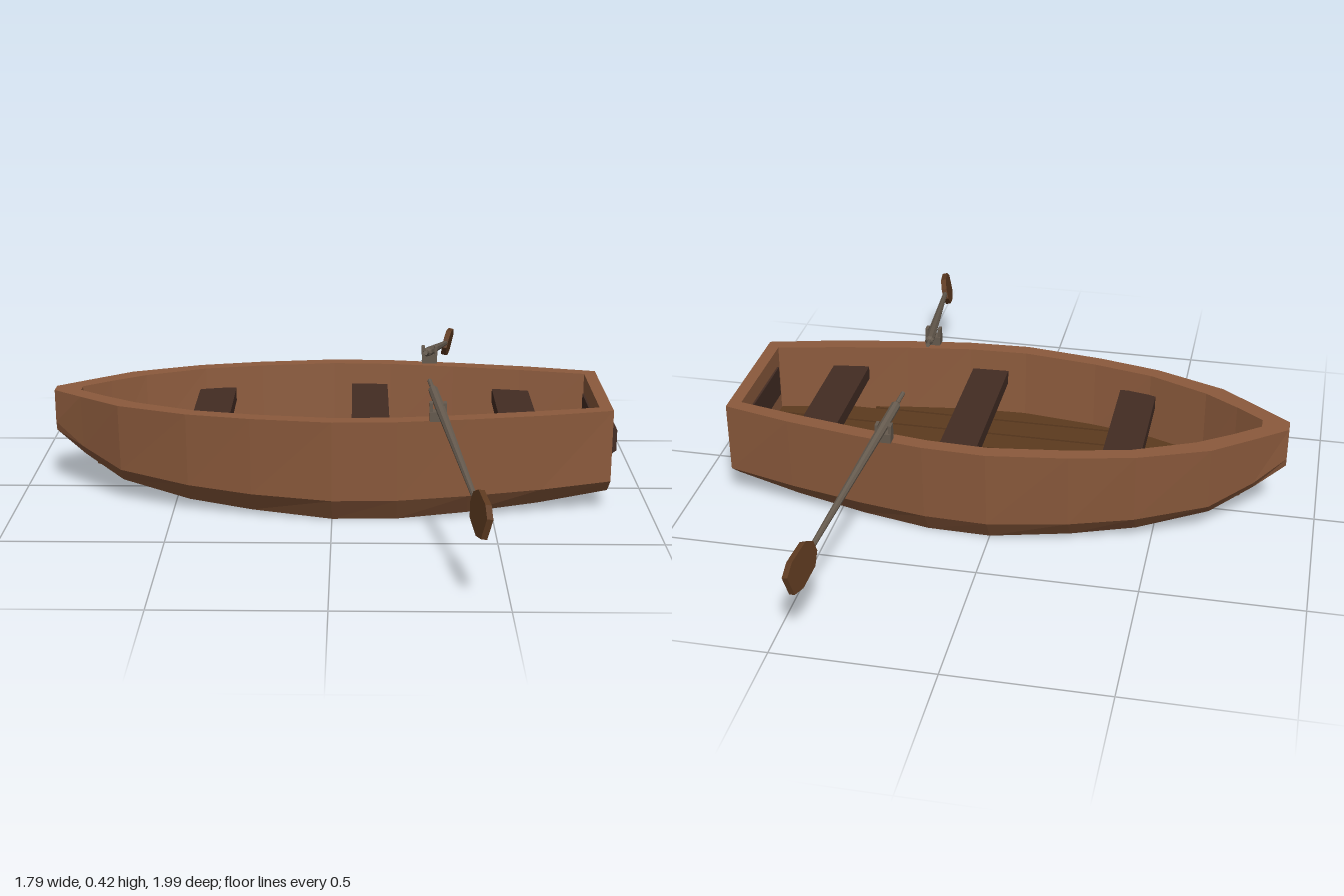
import * as THREE from 'three';

const mat = (name, color) => {
  const m = new THREE.MeshStandardMaterial({ color });
  m.name = name;
  m.flatShading = true;
  return m;
};

const RIM = 0.337, FLOOR = 0.1;

// Hull stations: outer x, top half-width, chine half-width, chine y, keel half-width, keel y, inner x, inner half-width
const STATIONS = [
  [-0.895, 0.024, 0.022, 0.23, 0.012, 0.2, -0.81, 0.02],
  [-0.8, 0.098, 0.08, 0.165, 0.045, 0.13, -0.725, 0.085],
  [-0.67, 0.196, 0.172, 0.118, 0.115, 0.066, -0.62, 0.155],
  [-0.45, 0.282, 0.262, 0.1, 0.205, 0.034, -0.43, 0.238],
  [-0.25, 0.326, 0.31, 0.088, 0.255, 0.018, -0.24, 0.28],
  [0, 0.36, 0.347, 0.08, 0.295, 0.003, 0, 0.312],
  [0.2, 0.352, 0.34, 0.08, 0.29, 0.003, 0.19, 0.305],
  [0.42, 0.321, 0.311, 0.086, 0.26, 0.015, 0.4, 0.275],
  [0.65, 0.279, 0.271, 0.094, 0.215, 0.032, 0.62, 0.235],
  [0.87, 0.225, 0.225, 0.106, 0.165, 0.056, 0.83, 0.19],
];

// Half-width of the floor at x
function floorWidth(x) {
  for (let i = 1; i < STATIONS.length; i++) {
    const a = STATIONS[i - 1], b = STATIONS[i];
    if (x <= b[6]) return 0.95 * THREE.MathUtils.mapLinear(x, a[6], b[6], a[7], b[7]);
  }
  return 0.18;
}

// Closed shell: each ring runs keel, chine, rim, inner rim, inner floor, then mirrored back
function hullGeometry() {
  const rings = STATIONS.map(([x, top, chine, cy, keel, ky, ix, inner], i) => {
    const half = [
      [x, ky, keel], [x, cy, chine], [x, RIM, top], [ix, RIM, inner],
      [ix, i === 0 ? 0.2 : FLOOR, inner * 0.95],
    ];
    return [...half, ...half.slice().reverse().map(([px, py, pz]) => [px, py, -pz])];
  });
  const pos = [];
  const quad = (a, b, c, d) => pos.push(...a, ...b, ...c, ...a, ...c, ...d);
  for (let i = 0; i < rings.length - 1; i++) {
    for (let j = 0; j < 10; j++) {
      const k = (j + 1) % 10;
      quad(rings[i][j], rings[i + 1][j], rings[i + 1][k], rings[i][k]);
    }
  }
  const bow = rings[0], stern = rings[rings.length - 1];
  for (let k = 0; k < 4; k++) {
    quad(bow[k], bow[k + 1], bow[8 - k], bow[9 - k]);
    quad(stern[9 - k], stern[8 - k], stern[k + 1], stern[k]);
  }
  const g = new THREE.BufferGeometry();
  g.setAttribute('position', new THREE.Float32BufferAttribute(pos, 3));
  g.computeVertexNormals();
  return g;
}

// Floor board between z0 and z1, trimmed to the hull sides
function plankGeometry(z0, z1) {
  const upper = [], lower = [];
  for (let i = 0; i <= 60; i++) {
    const x = THREE.MathUtils.lerp(-0.76, 0.828, i / 60);
    const w = floorWidth(x), hi = Math.min(z1, w), lo = Math.max(z0, -w);
    if (hi - lo < 0.004) continue;
    upper.push(new THREE.Vector2(x, -lo));
    lower.push(new THREE.Vector2(x, -hi));
  }
  const shape = new THREE.Shape([...lower, ...upper.reverse()]);
  return new THREE.ExtrudeGeometry(shape, { depth: 0.015, bevelEnabled: false })
    .rotateX(-Math.PI / 2).translate(0, FLOOR, 0);
}

export function createModel() {
  const group = new THREE.Group();
  const hullWood = mat('hull wood', 0x8b5a3c);
  const floorWood = mat('floor wood', 0x5c3a1e);
  const seatWood = mat('dark seat wood', 0x432c23);
  const oarGrey = mat('weathered grey', 0x655a4e);
  const bladeWood = mat('blade wood', 0x5e3a20);

  const add = (name, geometry, material, parent = group) => {
    const mesh = new THREE.Mesh(geometry, material);
    mesh.name = name;
    parent.add(mesh);
    return mesh;
  };
  const box = (name, size, at, material, parent) => {
    const mesh = add(name, new THREE.BoxGeometry(...size), material, parent);
    mesh.position.set(...at);
    return mesh;
  };

  add('hull', hullGeometry(), hullWood);

  // Floor boards with narrow gaps
  for (let i = -3; i <= 3; i++) {
    const z = i * 0.093;
    add('floorPlank', plankGeometry(z - 0.042, z + 0.042), floorWood);
  }

  // Three thwarts
  for (const [x, width] of [[-0.39, 0.5], [0.12, 0.615], [0.59, 0.485]]) {
    box('seat', [0.12, 0.045, width], [x, 0.245, 0], seatWood);
  }

  // Bevelled board through the transom
  const board = new THREE.Shape([
    [0.824, 0.172], [0.868, 0.168], [0.893, 0.188], [0.893, 0.255], [0.868, 0.28], [0.824, 0.276],
  ].map(([x, y]) => new THREE.Vector2(x, y)));
  add('transomBoard', new THREE.ExtrudeGeometry(board, { depth: 0.328, bevelEnabled: false })
    .translate(0, 0, -0.164), seatWood);

  // Blade outline, along the oar in y
  const blade = new THREE.Shape([
    [-0.018, 0], [-0.046, 0.035], [-0.05, 0.12], [-0.032, 0.165],
    [0.032, 0.165], [0.05, 0.12], [0.046, 0.035], [0.018, 0],
  ].map(([x, y]) => new THREE.Vector2(x, y)));

  for (const side of [1, -1]) {
    // Oarlock: post with two horns
    const lock = new THREE.Group();
    lock.name = 'oarlock';
    lock.position.set(0.322, RIM, side * 0.328);
    group.add(lock);
    box('post', [0.05, 0.03, 0.036], [0, 0.015, 0], oarGrey, lock);
    for (const s of [-1, 1]) box('horn', [0.01, 0.03, 0.026], [s * 0.021, 0.042, 0], oarGrey, lock);

    // Oar: local y runs from grip to blade
    const start = new THREE.Vector3(0.302, 0.414, side * 0.163);
    const dir = new THREE.Vector3(0.426, 0.238, side * 0.99).sub(start);
    const length = dir.length();
    dir.normalize();
    const across = new THREE.Vector3(0, 1, 0).addScaledVector(dir, -dir.y).normalize();
    // Tip the blade slightly about the shaft
    across.applyAxisAngle(dir, side * -0.2);
    const normal = new THREE.Vector3().crossVectors(across, dir);
    const oar = new THREE.Group();
    oar.name = 'oar';
    oar.position.copy(start);
    oar.quaternion.setFromRotationMatrix(new THREE.Matrix4().makeBasis(across, dir, normal));
    group.add(oar);

    const profile = [[0, 0], [0.007, 0], [0.007, 0.05], [0.015, 0.06], [0.015, 0.16], [0.008, length - 0.15], [0, length - 0.14]]
      .map(([r, y]) => new THREE.Vector2(r, y));
    add('shaft', new THREE.LatheGeometry(profile, 8), oarGrey, oar);
    add('blade', new THREE.ExtrudeGeometry(blade, { depth: 0.018, bevelEnabled: false })
      .translate(0, length - 0.165, -0.009), bladeWood, oar);
  }
  return group;
}
